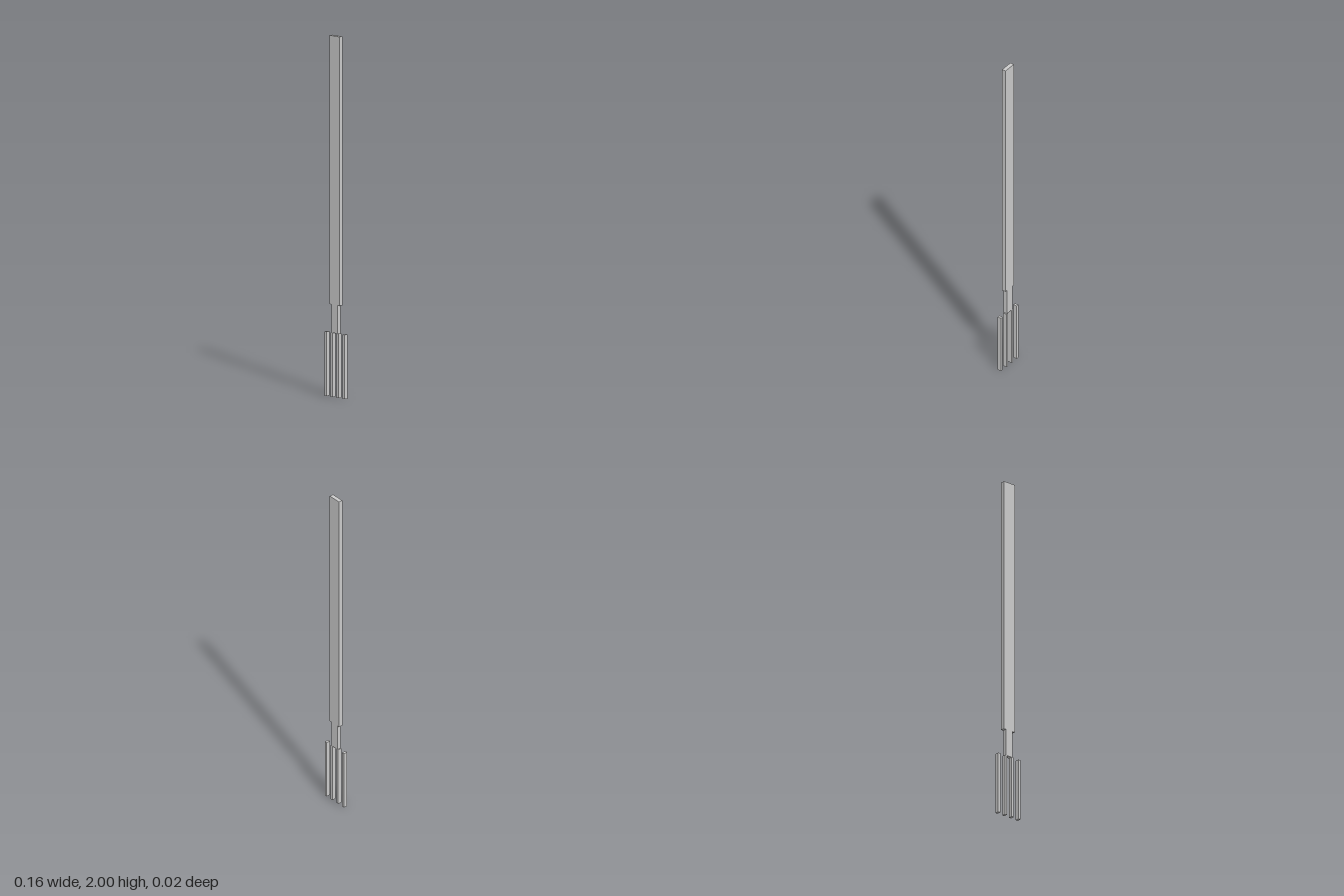
import * as THREE from 'three';

const DEPTH = 0.023;

export function createModel() {
  const group = new THREE.Group();
  const material = new THREE.MeshStandardMaterial({ color: 0xcccccc, flatShading: true });

  // Upright bar spanning y0 to y1, centred on x
  const addBar = (name, x, width, y0, y1) => {
    const bar = new THREE.Mesh(new THREE.BoxGeometry(width, y1 - y0, DEPTH), material);
    bar.name = name;
    bar.position.set(x, (y0 + y1) / 2, 0);
    group.add(bar);
  };

  addBar('handle', 0, 0.077, 0.512, 2);
  addBar('neck', 0, 0.048, 0.356, 0.512);

  // Four evenly spaced tines
  for (let i = 0; i < 4; i++) {
    addBar(`tine${i + 1}`, (i - 1.5) * 0.0475, 0.0145, 0, 0.356);
  }
  return group;
}
